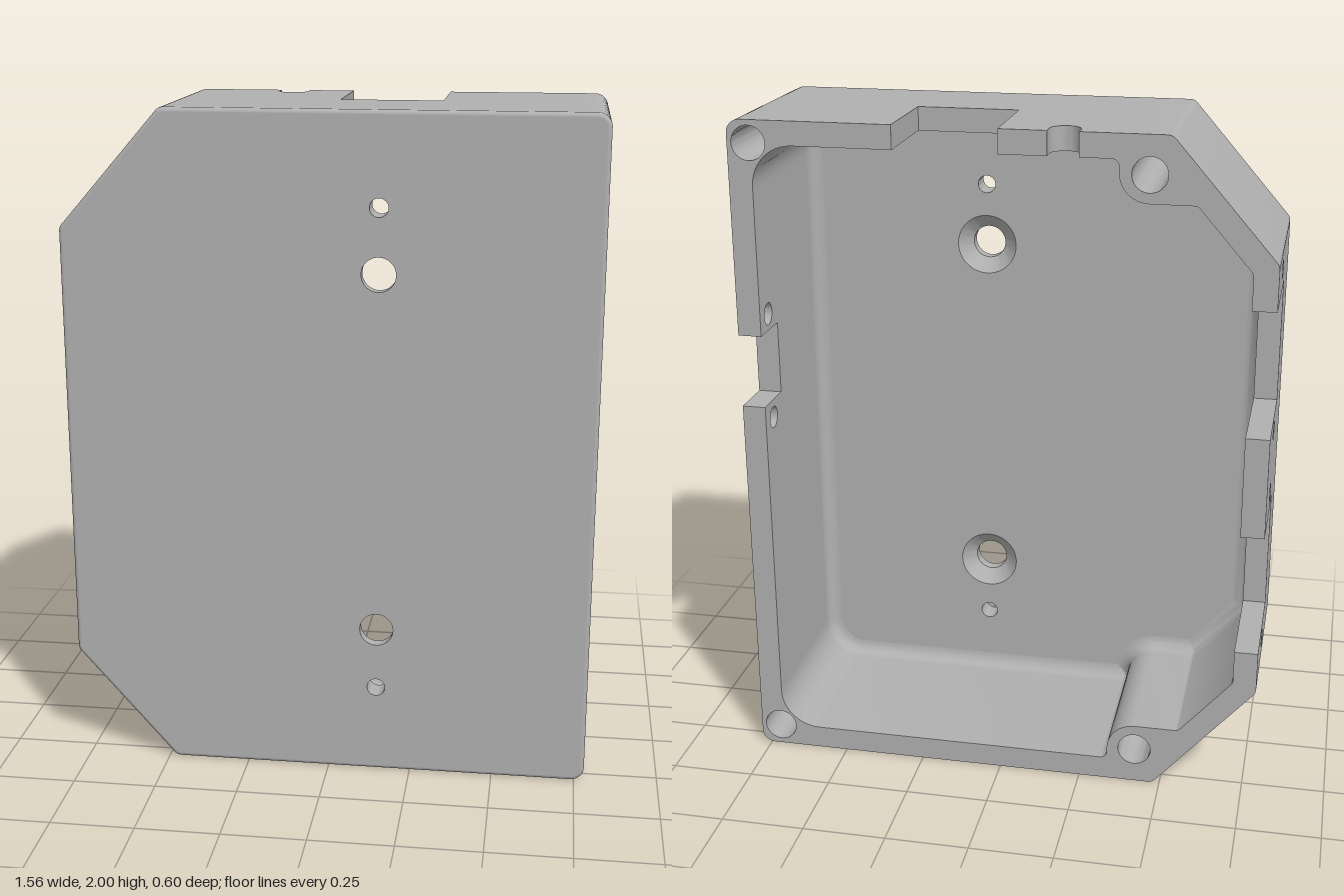
import * as THREE from 'three';
import { toCreasedNormals } from 'three/addons/utils/BufferGeometryUtils.js';

const BACK = -0.3, FLOOR = 0.225, FRONT = 0.3, WALL = 0.07;

// Polygon of [x, y, radius] corners -> points with rounded corners
function roundPoly(corners) {
  const out = [], n = corners.length;
  corners.forEach(([x, y, r = 0], i) => {
    const p = new THREE.Vector2(x, y);
    if (!r) { out.push(p); return; }
    const a = corners[(i + n - 1) % n], b = corners[(i + 1) % n];
    const da = new THREE.Vector2(a[0], a[1]).sub(p).normalize();
    const db = new THREE.Vector2(b[0], b[1]).sub(p).normalize();
    const half = Math.acos(da.dot(db)) / 2;
    const c = da.clone().add(db).normalize().multiplyScalar(r / Math.sin(half)).add(p);
    const s = da.multiplyScalar(r / Math.tan(half)).add(p).sub(c);
    const e = db.multiplyScalar(r / Math.tan(half)).add(p).sub(c);
    const turn = Math.atan2(s.cross(e), s.dot(e));
    const steps = Math.max(3, Math.ceil(Math.abs(turn) / 0.15));
    for (let k = 0; k <= steps; k++) {
      out.push(s.clone().rotateAround(new THREE.Vector2(), turn * k / steps).add(c));
    }
  });
  return out;
}

// Closed counter-clockwise outline moved inwards by d
function inset(pts, d) {
  const n = pts.length;
  return pts.map((p, i) => {
    const u = p.clone().sub(pts[(i + n - 1) % n]).normalize();
    const v = pts[(i + 1) % n].clone().sub(p).normalize();
    const m = new THREE.Vector2(-u.y - v.y, u.x + v.x);
    return m.multiplyScalar(d / (1 + u.dot(v))).add(p);
  });
}

// Band following an outline through [inset, z] steps
function band(pts, profile) {
  const n = pts.length, pos = [], idx = [];
  profile.forEach(([d, z]) => inset(pts, d).forEach(p => pos.push(p.x, p.y, z)));
  for (let j = 0; j < profile.length - 1; j++) {
    for (let i = 0; i < n; i++) {
      const a = j * n + i, b = j * n + (i + 1) % n;
      idx.push(a, b, b + n, a, b + n, a + n);
    }
  }
  const g = new THREE.BufferGeometry();
  g.setAttribute('position', new THREE.Float32BufferAttribute(pos, 3));
  g.setIndex(idx);
  return toCreasedNormals(g, 0.5);
}

function shapeWithHoles(pts, holes = []) {
  const s = new THREE.Shape(pts);
  holes.forEach(([x, y, r]) => s.holes.push(new THREE.Path().absarc(x, y, r, 0, Math.PI * 2, true)));
  return s;
}

function extrude(pts, depth, holes) {
  const g = new THREE.ExtrudeGeometry(shapeWithHoles(pts, holes), { depth, bevelEnabled: false, curveSegments: 24 });
  return toCreasedNormals(g, 0.5);
}

const box = (u0, v0, u1, v1) => [[u0, v0], [u1, v0], [u1, v1], [u0, v1]];
const mirrorY = list => list.map(([x, y, r]) => [x, 2 - y, r]).reverse();

export function createModel() {
  const group = new THREE.Group();
  const grey = new THREE.MeshStandardMaterial({ color: 0xb0b0b0, side: THREE.DoubleSide });
  grey.name = 'plain grey';
  const add = (name, geometry) => {
    const m = new THREE.Mesh(geometry, grey);
    m.name = name;
    group.add(m);
    return m;
  };

  // Lower halves of the outer and cavity outlines; upper halves are mirrored
  const outerLow = [[-0.78, 0.345, 0.03], [-0.478, 0, 0.03], [0.78, 0, 0.04]];
  const innerLow = [[-0.71, 0.371, 0.02], [-0.552, 0.19, 0.02], [-0.335, 0.19, 0.085],
    [-0.335, WALL, 0.02], [0.71, WALL, 0.12]];
  const outer = roundPoly([...outerLow, ...mirrorY(outerLow)]);
  const cavity = roundPoly([...innerLow, ...mirrorY(innerLow)]);
  const cornerHole = [0.717, 0.066, 0.05], bossHole = [-0.42, 0.11, 0.05];

  // Bottom wall with both lower corners
  add('bottomWall', extrude(roundPoly([[-0.78, 0.38], ...outerLow, [0.78, 0.2], [0.71, 0.2],
    ...[...innerLow].reverse(), [-0.71, 0.38]]), FLOOR - BACK, [cornerHole, bossHole]))
    .position.z = BACK;

  // Upper corners
  add('upperRoundCorner', extrude(roundPoly(mirrorY([[0.58, 0], outerLow[2], [0.78, 0.2], [0.71, 0.2],
    innerLow[4], [0.58, WALL]])), FLOOR - BACK, mirrorY([cornerHole]))).position.z = BACK;
  add('upperSlantedCorner', extrude(roundPoly(mirrorY([[-0.78, 0.38], outerLow[0], outerLow[1], [-0.31, 0],
    [-0.31, WALL], ...innerLow.slice(0, 4).reverse(), [-0.71, 0.38]])), FLOOR - BACK, mirrorY([bossHole])))
    .position.z = BACK;

  // Left wall with one notch and two screw holes, drawn in z and y
  const sidePanel = (name, x, corners, holes) => {
    const g = extrude(roundPoly(corners), WALL, holes);
    g.rotateY(-Math.PI / 2);
    add(name, g).position.x = x;
  };
  sidePanel('leftWall', 0.78, [[BACK, 0.2], [FLOOR, 0.2], [FLOOR, 1.8], [BACK, 1.8],
    [BACK, 1.365], [-0.155, 1.365], [-0.155, 1.145], [BACK, 1.145]],
  [[-0.23, 1.415, 0.033], [-0.23, 1.09, 0.033]]);

  // Right wall with two deep notches and four screw holes
  const notches = [[1.525, 1.152], [0.848, 0.475]].flatMap(([a, b]) =>
    [[BACK, a], [0.05, a], [0.05, b], [BACK, b]]);
  sidePanel('rightWall', -0.71, [[BACK, 0.38], [FLOOR, 0.38], [FLOOR, 1.62], [BACK, 1.62], ...notches],
    [0.415, 0.9, 1.1, 1.585].map(y => [-0.073, y, 0.03]));

  // Top wall with a square notch and a round-ended cable slot, drawn in x and z
  const slot = [];
  for (let i = 0; i <= 16; i++) {
    const a = Math.PI * i / 16;
    slot.push([-0.181 + 0.044 * Math.cos(a), -0.262 + 0.044 * Math.sin(a)]);
  }
  const top = extrude(roundPoly([[0.58, BACK], [0.58, FLOOR], [-0.31, FLOOR], [-0.31, BACK],
    [-0.225, BACK], ...slot.reverse(), [-0.137, BACK],
    [0, BACK], [0, 0], [0.3, 0], [0.3, BACK]]), WALL);
  top.rotateX(Math.PI / 2);
  add('topWall', top).position.y = 2;

  // Front plate: softened rim, outer face and cavity floor
  const e = 0.012, f = 0.04, rim = [[0, FLOOR]], cove = [];
  for (let i = 0; i <= 6; i++) {
    const a = Math.PI / 2 * i / 6, c = 1 - Math.cos(a), s = Math.sin(a);
    rim.push([e * c, FRONT - e + e * s]);
    cove.push([f * c, FLOOR - f + f * s]);
  }
  const bolts = [0.46, 1.54].map(y => [0.146, y]);
  const pins = [0.272, 1.73].map(y => [0.146, y, 0.027]);
  const face = (pts, r, z) => new THREE.ShapeGeometry(
    shapeWithHoles(pts, [...bolts.map(([x, y]) => [x, y, r]), ...pins]), 24).translate(0, 0, z);
  add('frontRim', band(outer, rim));
  add('frontFace', face(inset(outer, e), 0.05, FRONT));
  add('cavityFloor', face(cavity, 0.092, FLOOR));
  add('cavityFillet', band(cavity, cove));

  // Countersunk bolt holes and plain pin holes through the plate
  const bore = (name, [x, y], profile) => {
    const g = new THREE.LatheGeometry(profile.map(p => new THREE.Vector2(...p)), 48);
    g.rotateX(Math.PI / 2);
    add(name, toCreasedNormals(g, 0.5)).position.set(x, y, 0);
  };
  bolts.forEach(p => bore('boltHole', p, [[0.092, FLOOR], [0.05, 0.265], [0.05, FRONT]]));
  pins.forEach(p => bore('pinHole', p, [[0.027, FLOOR], [0.027, FRONT]]));

  return group;
}
